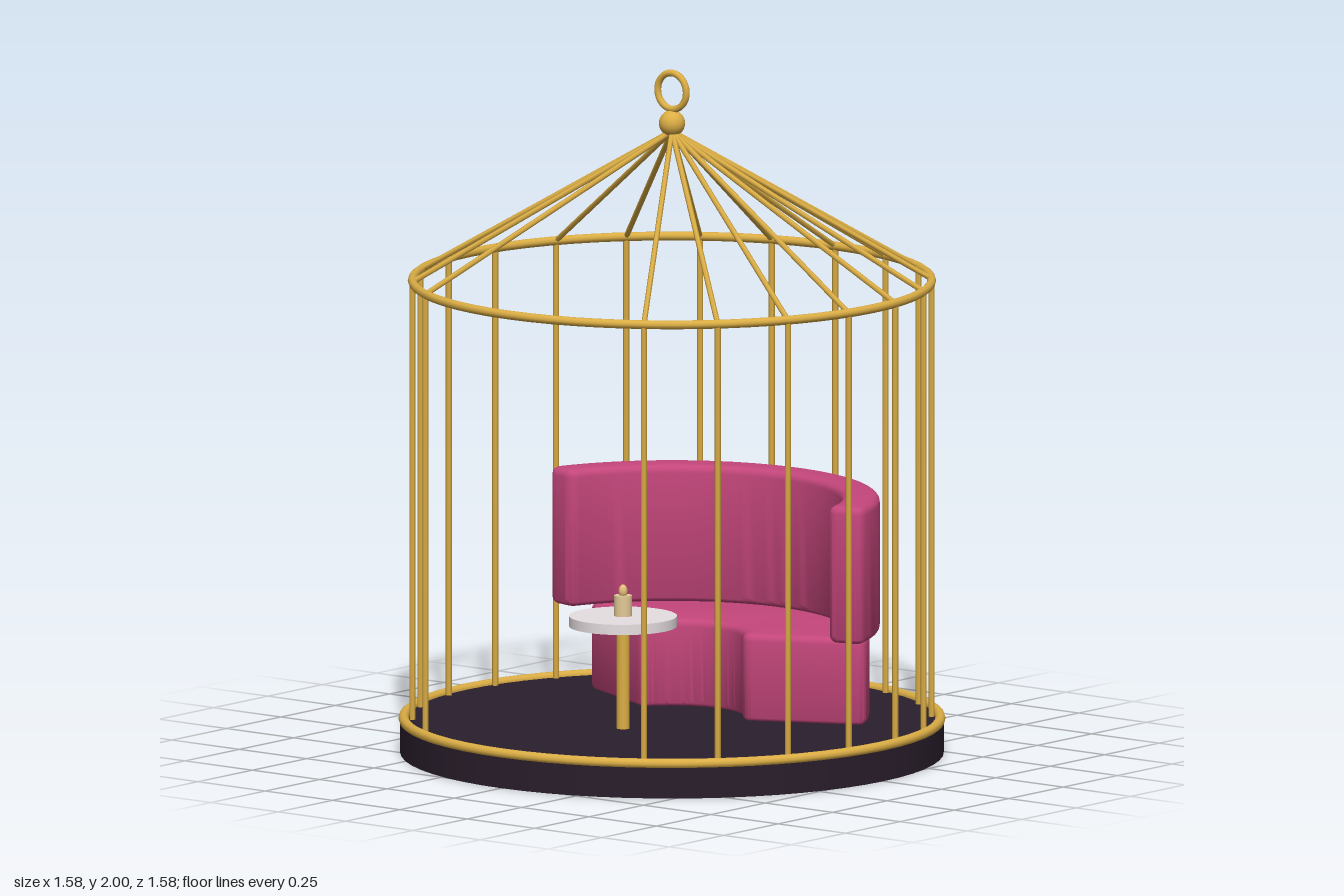
import * as THREE from 'three';
import { toCreasedNormals } from 'three/addons/utils/BufferGeometryUtils.js';

const mat = (name, color) => {
  const m = new THREE.MeshStandardMaterial({ color });
  m.name = name;
  return m;
};

export function createModel() {
  const gold = mat('gold', 0xdcae45);
  const dark = mat('dark plum', 0x2a1e2c);
  const pink = mat('pink velvet', 0xc4467b);
  const white = mat('white marble', 0xeee6e8);
  const wax = mat('candle wax', 0xe4cb98);
  const glow = mat('candle flame', 0xe6c07c);

  const model = new THREE.Group();
  model.name = 'birdcageLounge';

  const add = (name, geometry, material, x = 0, y = 0, z = 0) => {
    const mesh = new THREE.Mesh(geometry, material);
    mesh.name = name;
    mesh.position.set(x, y, z);
    model.add(mesh);
    return mesh;
  };

  // Straight six-sided rod between two points
  const rod = (name, a, b, r) => {
    const d = b.clone().sub(a);
    const mesh = add(name, new THREE.CylinderGeometry(r, r, d.length(), 6), gold);
    mesh.position.copy(a).add(b).multiplyScalar(0.5);
    mesh.quaternion.setFromUnitVectors(new THREE.Vector3(0, 1, 0), d.normalize());
  };

  // Horizontal hoop
  const hoop = (name, r, tube, y) => {
    add(name, new THREE.TorusGeometry(r, tube, 10, 64), gold, 0, y, 0).rotation.x = Math.PI / 2;
  };

  // Floor and hoops
  add('floor', new THREE.CylinderGeometry(0.785, 0.785, 0.1, 64), dark, 0, 0.05, 0);
  hoop('floorRim', 0.775, 0.015, 0.1);
  hoop('upperHoop', 0.75, 0.013, 1.382);

  // Cage bars: 22 slots counted from the back, three left open as the doorway
  const apex = new THREE.Vector3(0, 1.82, 0);
  for (let i = -9; i <= 9; i++) {
    const a = (i * Math.PI * 2) / 22;
    const x = 0.75 * Math.sin(a), z = -0.75 * Math.cos(a);
    const top = new THREE.Vector3(x, 1.382, z);
    rod('cageBar', new THREE.Vector3(x, 0.1, z), top, 0.009);
    rod('roofBar', top, apex, 0.008);
  }

  // Finial and hanging ring
  add('finialBall', new THREE.SphereGeometry(0.038, 24, 16), gold, 0, 1.843, 0);
  add('hangingRing', new THREE.TorusGeometry(0.053, 0.01, 10, 40), gold, 0, 1.937, 0);

  // Curved cushion: a ring sector around the back, with rounded corners and edges
  const cushion = (name, inner, outer, halfAngle, y0, y1, bevel, corner) => {
    const h = THREE.MathUtils.degToRad(halfAngle);
    const start = Math.PI / 2 - h, end = Math.PI / 2 + h;
    const at = (r, a) => [r * Math.cos(a), r * Math.sin(a)];
    const co = corner / outer, ci = corner / inner;
    const shape = new THREE.Shape();
    shape.absarc(0, 0, outer, start + co, end - co, false);
    shape.quadraticCurveTo(...at(outer, end), ...at(outer - corner, end));
    shape.lineTo(...at(inner + corner, end));
    shape.quadraticCurveTo(...at(inner, end), ...at(inner, end - ci));
    shape.absarc(0, 0, inner, end - ci, start + ci, true);
    shape.quadraticCurveTo(...at(inner, start), ...at(inner + corner, start));
    shape.lineTo(...at(outer - corner, start));
    shape.quadraticCurveTo(...at(outer, start), ...at(outer, start + co));
    const geo = new THREE.ExtrudeGeometry(shape, {
      depth: y1 - y0 - 2 * bevel, curveSegments: 24,
      bevelEnabled: true, bevelThickness: bevel, bevelSize: bevel,
      bevelOffset: -bevel, bevelSegments: 4,
    });
    geo.rotateX(-Math.PI / 2);
    add(name, toCreasedNormals(geo, 0.8), pink, 0, y0 + bevel, 0);
  };
  cushion('sofaSeat', 0.205, 0.57, 64, 0.095, 0.354, 0.022, 0.035);
  cushion('sofaBackrest', 0.49, 0.6, 75.5, 0.354, 0.755, 0.022, 0.035);

  // Round table with a candle
  const tz = 0.225;
  add('tableLeg', new THREE.CylinderGeometry(0.019, 0.019, 0.3, 16), gold, 0, 0.25, tz);
  add('tableTop', new THREE.CylinderGeometry(0.156, 0.156, 0.03, 48), white, 0, 0.415, tz);
  add('candle', new THREE.CylinderGeometry(0.026, 0.026, 0.06, 20), wax, 0, 0.46, tz);
  const flame = add('candleFlame', new THREE.SphereGeometry(0.013, 12, 10), glow, 0, 0.502, tz);
  flame.scale.y = 1.5;

  return model;
}
